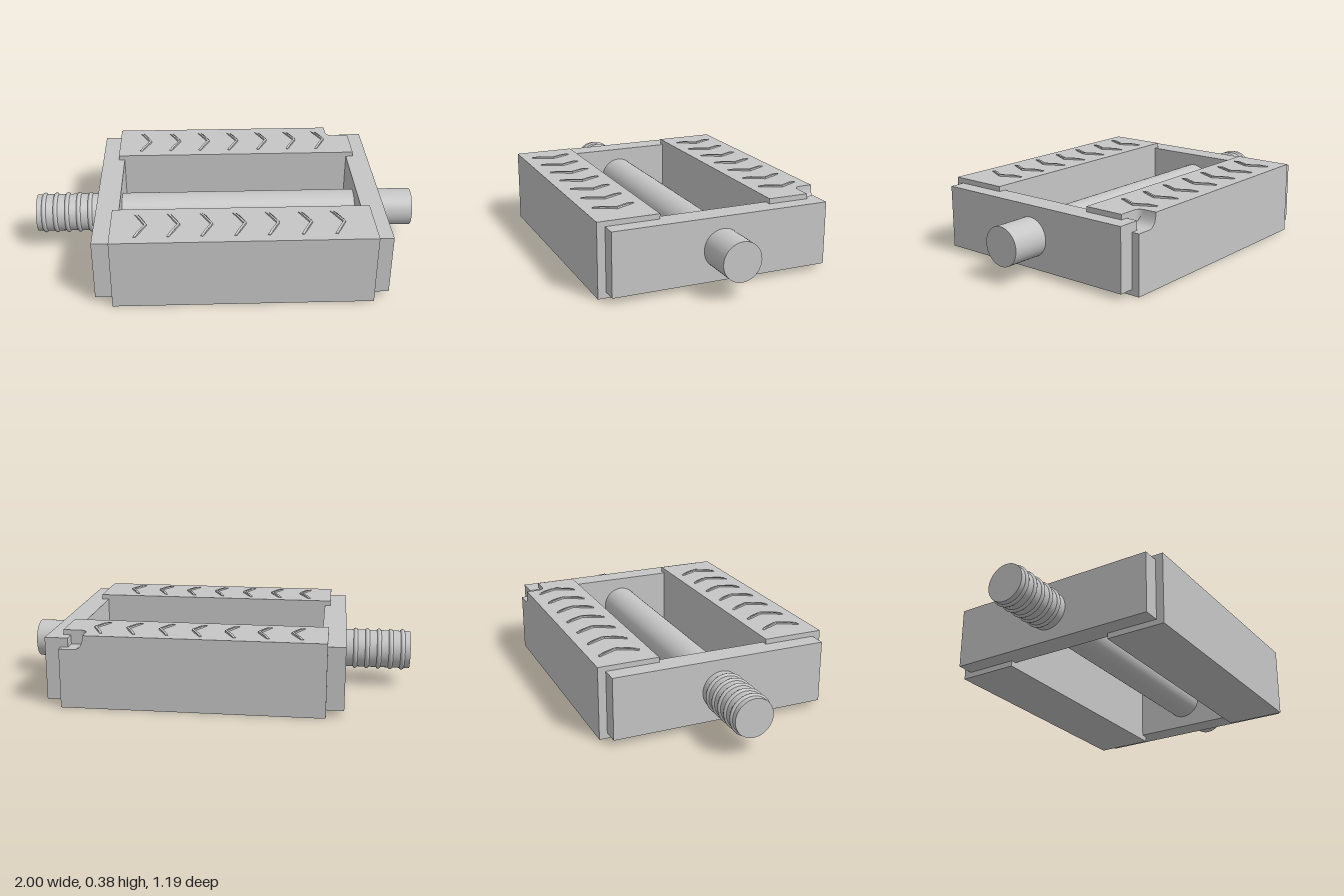
import * as THREE from 'three';

export function createModel() {
  const model = new THREE.Group();
  const grey = new THREE.MeshStandardMaterial({ color: 0xc6c6c6 });
  grey.name = 'light grey';

  const add = (name, geometry, parent = model) => {
    const mesh = new THREE.Mesh(geometry, grey);
    mesh.name = name;
    parent.add(mesh);
    return mesh;
  };
  // Box given by its limits on each axis
  const box = (name, x0, x1, y0, y1, z0, z1, parent) =>
    add(name, new THREE.BoxGeometry(x1 - x0, y1 - y0, z1 - z0), parent)
      .position.set((x0 + x1) / 2, (y0 + y1) / 2, (z0 + z1) / 2);

  const TOP = 0.372, LEFT = -0.577, RIGHT = 0.727, AXIS_Y = 0.188;
  const NOTCH_X = 0.603, NOTCH_Y = 0.3, NOTCH_Z = -0.495;

  // End plates
  box('leftPlate', 0.69, 0.806, 0.029, 0.346, -0.555, 0.555);
  box('rightPlate', -0.664, -0.546, 0.029, 0.346, -0.555, 0.555);

  // Front tread block
  box('frontBlock', LEFT, RIGHT, 0, TOP, 0.286, 0.595);

  // Back tread block, its outer part cut by a scooped notch at one corner
  const back = new THREE.Group();
  back.name = 'backBlock';
  model.add(back);
  box('backBlockInner', LEFT, RIGHT, 0, TOP, NOTCH_Z, -0.286, back);
  const profile = new THREE.Shape();
  profile.moveTo(LEFT, 0);
  profile.lineTo(RIGHT, 0);
  profile.lineTo(RIGHT, NOTCH_Y);
  profile.lineTo(NOTCH_X + 0.05, NOTCH_Y);
  profile.quadraticCurveTo(NOTCH_X + 0.005, NOTCH_Y, NOTCH_X, TOP);
  profile.lineTo(LEFT, TOP);
  profile.closePath();
  add('backBlockOuter', new THREE.ExtrudeGeometry(profile, {
    depth: 0.1, bevelEnabled: false, curveSegments: 10,
  }), back).position.z = -0.595;

  // Rounded inner corner of the notch
  const r = 0.04;
  const corner = new THREE.Shape();
  corner.moveTo(0, 0);
  corner.lineTo(r, 0);
  corner.quadraticCurveTo(0, 0, 0, r);
  corner.closePath();
  const cornerGeometry = new THREE.ExtrudeGeometry(corner, {
    depth: TOP - NOTCH_Y, bevelEnabled: false, curveSegments: 8,
  });
  cornerGeometry.rotateX(-Math.PI / 2);
  add('notchCorner', cornerGeometry, back).position.set(NOTCH_X, NOTCH_Y, NOTCH_Z);

  // Axle running through both plates
  const axle = new THREE.CylinderGeometry(0.098, 0.098, 2, 48);
  axle.rotateZ(Math.PI / 2);
  add('axle', axle).position.y = AXIS_Y;

  // Thread rings on the exposed end of the axle
  const ring = new THREE.TorusGeometry(0.095, 0.012, 10, 48);
  ring.rotateY(Math.PI / 2);
  for (let i = 0; i < 5; i++) {
    add('threadRing', ring).position.set(-0.961 + i * 0.061, AXIS_Y, 0);
  }

  // Raised grip chevrons, sinking into the block towards their ends
  const chevron = new THREE.Shape([
    [-0.052, -0.105], [-0.034, -0.07], [0, 0], [-0.034, 0.07], [-0.052, 0.105],
    [-0.064, 0.101], [-0.046, 0.066], [-0.013, 0], [-0.046, -0.066], [-0.064, -0.101],
  ].map(([x, y]) => new THREE.Vector2(x, y)));
  const grip = new THREE.ExtrudeGeometry(chevron, { depth: 0.013, bevelEnabled: false });
  grip.rotateX(-Math.PI / 2);
  const p = grip.attributes.position;
  for (let i = 0; i < p.count; i++) {
    if (p.getY(i) > 0.01 && Math.abs(p.getZ(i)) > 0.09) p.setY(i, 0.007);
  }
  grip.computeVertexNormals();
  for (const z of [-0.44, 0.44]) {
    for (let i = 0; i < 7; i++) {
      add('gripChevron', grip).position.set(-0.398 + i * 0.1635, TOP - 0.004, z);
    }
  }

  return model;
}
